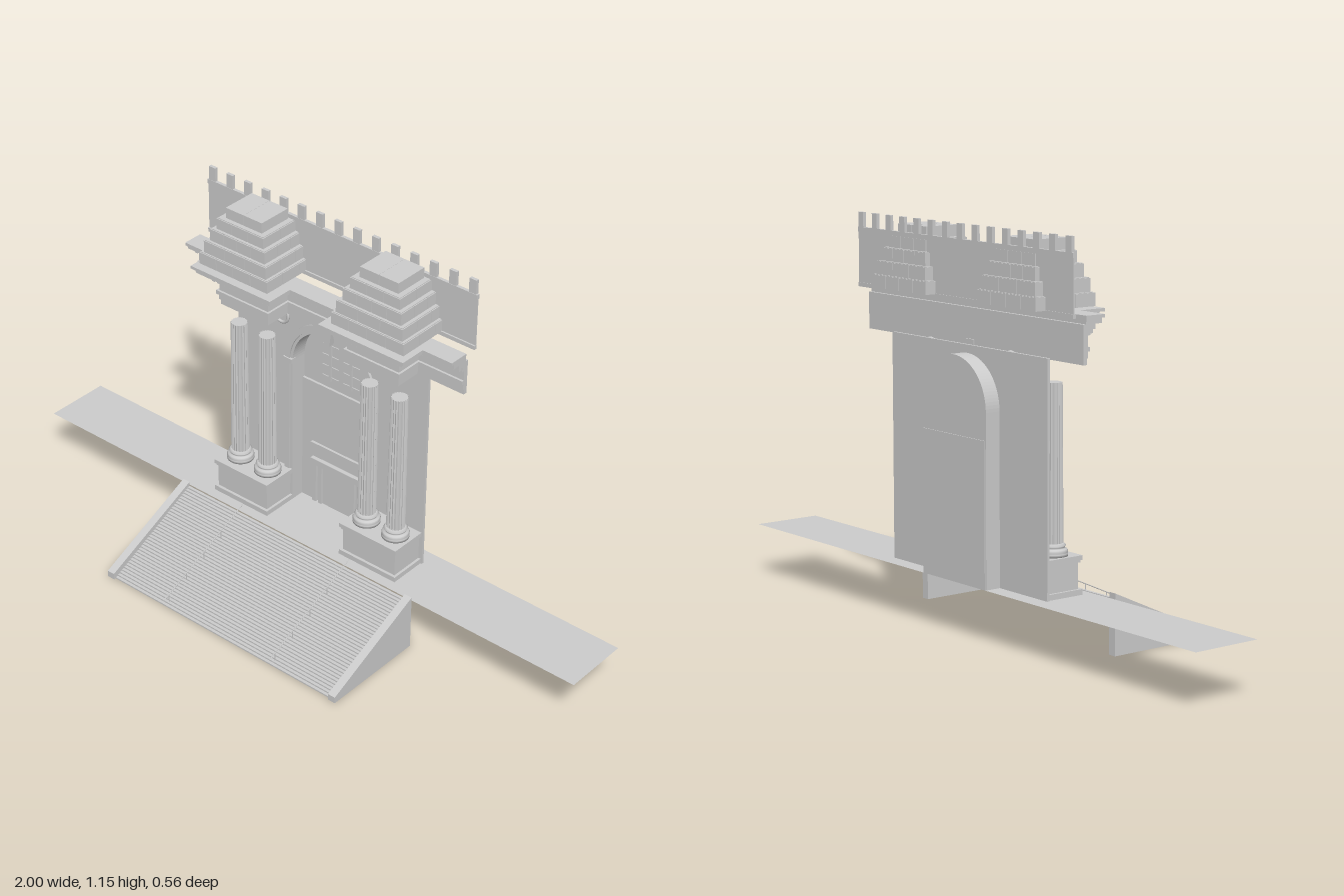
import * as THREE from 'three';

const stone = new THREE.MeshStandardMaterial({ color: 0xcccccc });
stone.name = 'pale stone';
stone.side = THREE.DoubleSide;

function add(parent, name, geo) {
  const m = new THREE.Mesh(geo, stone);
  m.name = name;
  parent.add(m);
  return m;
}
// Box given by its limits on each axis
function box(parent, name, x0, x1, y0, y1, z0, z1) {
  const m = add(parent, name, new THREE.BoxGeometry(x1 - x0, y1 - y0, z1 - z0));
  m.position.set((x0 + x1) / 2, (y0 + y1) / 2, (z0 + z1) / 2);
  return m;
}
// Side profile of [z, y] points, extruded along x
function extrudeX(parent, name, pts, x0, x1) {
  const s = new THREE.Shape(pts.map(([z, y]) => new THREE.Vector2(-z, y)));
  const g = new THREE.ExtrudeGeometry(s, { depth: x1 - x0, bevelEnabled: false });
  g.rotateY(Math.PI / 2).translate(x0, 0, 0);
  return add(parent, name, g);
}
// Front outline extruded from z0 to z1
function extrudeZ(parent, name, shape, z0, z1) {
  const g = new THREE.ExtrudeGeometry(shape, { depth: z1 - z0, bevelEnabled: false, curveSegments: 24 });
  return add(parent, name, g.translate(0, 0, z0));
}
const FLOOR = 0.16, SPRING = 0.652;
function archPath(Type, r, y0 = FLOOR) {
  const p = new Type();
  p.moveTo(-r, y0);
  p.lineTo(r, y0);
  p.lineTo(r, SPRING);
  p.absarc(0, SPRING, r, 0, Math.PI, false);
  p.lineTo(-r, y0);
  return p;
}
// Upside-down U band between two radii
function archBand(ro, ri) {
  const s = new THREE.Shape();
  s.moveTo(ro, FLOOR);
  s.lineTo(ro, SPRING);
  s.absarc(0, SPRING, ro, 0, Math.PI, false);
  s.lineTo(-ro, FLOOR);
  s.lineTo(-ri, FLOOR);
  s.lineTo(-ri, SPRING);
  s.absarc(0, SPRING, ri, Math.PI, 0, true);
  s.lineTo(ri, FLOOR);
  return s;
}
function group(parent, name) {
  const g = new THREE.Group();
  g.name = name;
  parent.add(g);
  return g;
}

function buildStairs(root) {
  const g = group(root, 'stairs');
  const n = 36, zf = 0.268, zb = -0.06, pts = [];
  for (let i = 0; i < n; i++) {
    const z = zf + (zb - zf) * i / n;
    pts.push([z, FLOOR * i / n], [z, FLOOR * (i + 1) / n]);
  }
  pts.push([zb, FLOOR], [zb, 0.145], [0.24, 0]);
  extrudeX(g, 'steps', pts, -0.415, 0.415);
  for (const s of [-1, 1]) {
    const x = s * 0.4275;
    extrudeX(g, 'stairSideWall', [[0.275, 0], [0.275, 0.02], [-0.06, 0.175], [-0.06, 0]], x - 0.0125, x + 0.0125);
    // thin handrail and its posts
    const a = new THREE.Vector3(s * 0.205, 0.034, 0.28), b = new THREE.Vector3(s * 0.205, 0.19, -0.065);
    add(g, 'handrail', new THREE.TubeGeometry(new THREE.LineCurve3(a, b), 1, 0.0016, 6));
    for (let i = 0; i < 4; i++) {
      const p = a.clone().lerp(b, 0.06 + i * 0.22);
      box(g, 'railPost', p.x - 0.001, p.x + 0.001, p.y - 0.026, p.y, p.z - 0.001, p.z + 0.001);
    }
  }
}

function buildWall(root) {
  const g = group(root, 'wall');
  const w = new THREE.Shape();
  w.moveTo(-0.352, FLOOR);
  w.lineTo(-0.14, FLOOR);
  w.lineTo(-0.14, SPRING);
  w.absarc(0, SPRING, 0.14, Math.PI, 0, true);
  w.lineTo(0.14, FLOOR);
  w.lineTo(0.352, FLOOR);
  w.lineTo(0.352, 0.82);
  w.lineTo(-0.352, 0.82);
  extrudeZ(g, 'facadeWall', w, -0.225, -0.217);
  // niche standing out behind the wall
  extrudeZ(g, 'nicheShell', archBand(0.145, 0.139), -0.27, -0.225);
  extrudeZ(g, 'nicheBack', archPath(THREE.Shape, 0.145), -0.272, -0.266);
  box(g, 'nicheLowerPanel', -0.142, 0.142, FLOOR, 0.575, -0.275, -0.258);
  // arch mouldings
  extrudeZ(g, 'archivolt', archBand(0.166, 0.148), -0.217, -0.209);
  extrudeZ(g, 'archivoltInner', archBand(0.152, 0.139), -0.225, -0.213);
  for (const s of [-1, 1]) {
    box(g, 'impost', s * 0.153 - 0.016, s * 0.153 + 0.016, 0.645, 0.66, -0.225, -0.205);
    const ring = add(g, 'roundel', new THREE.TorusGeometry(0.025, 0.005, 8, 28));
    ring.position.set(s * 0.182, 0.793, -0.214);
  }
  const k = new THREE.Shape([[-0.01, 0.77], [0.01, 0.77], [0.018, 0.835], [-0.018, 0.835]].map(p => new THREE.Vector2(...p)));
  extrudeZ(g, 'keystone', k, -0.217, -0.198);
  // window lattice
  for (const s of [-1, 1]) {
    const x = s * 0.039;
    box(g, 'windowFrame', x - 0.004, x + 0.004, 0.6, 0.78, -0.266, -0.26);
    for (let i = 0; i < 5; i++) {
      const y = 0.61 + i * 0.036;
      box(g, 'windowBar', x - 0.03, x + 0.03, y, y + 0.003, -0.266, -0.263);
    }
  }
  // doorway
  box(g, 'sill', -0.1, 0.1, 0.36, 0.368, -0.26, -0.25);
  box(g, 'doorLintel', -0.096, 0.096, 0.295, 0.315, -0.26, -0.245);
  box(g, 'doorLeaf', -0.055, 0.055, FLOOR, 0.288, -0.26, -0.255);
  for (const s of [-1, 1]) {
    for (const [x, h] of [[0.085, 0.007], [0.063, 0.006]])
      box(g, 'doorJamb', s * x - h, s * x + h, FLOOR, 0.296, -0.26, -0.249);
  }
}

// Fluted shaft: alternating ridge and groove radii
function shaftGeometry() {
  const geo = new THREE.CylinderGeometry(0.025, 0.028, 0.44, 40, 1).toNonIndexed();
  const p = geo.attributes.position;
  for (let i = 0; i < p.count; i++) {
    const x = p.getX(i), z = p.getZ(i);
    const k = Math.round(Math.atan2(z, x) / (Math.PI / 20));
    if (k % 2) { p.setX(i, x * 0.9); p.setZ(i, z * 0.9); }
  }
  geo.computeVertexNormals();
  return geo;
}

function buildColumns(root) {
  const shaft = shaftGeometry();
  const base = new THREE.LatheGeometry([[0, 0], [0.041, 0], [0.041, 0.008], [0.038, 0.009], [0.041, 0.013], [0.038, 0.019],
    [0.032, 0.021], [0.032, 0.025], [0.035, 0.029], [0.029, 0.035], [0, 0.035]].map(p => new THREE.Vector2(...p)), 24);
  for (const s of [-1, 1]) {
    const g = group(root, 'columnPair');
    const c = s * 0.243;
    for (const [name, h, y0, y1, zf] of [['plinth', 0.104, 0.16, 0.176, -0.098], ['pedestal', 0.096, 0.176, 0.25, -0.107],
      ['pedestalMoulding', 0.1, 0.25, 0.257, -0.102], ['pedestalCap', 0.104, 0.257, 0.27, -0.098]])
      box(g, name, c - h, c + h, y0, y1, -0.225, zf);
    for (const x of [0.19, 0.297]) {
      add(g, 'columnBase', base).position.set(s * x, 0.27, -0.16);
      add(g, 'columnShaft', shaft).position.set(s * x, 0.525, -0.16);
    }
  }
}

function buildEntablature(root) {
  const g = group(root, 'entablature');
  // bottom, top and overhang of each moulding
  const layers = [[0.815, 0.832, 0], [0.832, 0.85, 0.004], [0.85, 0.862, 0.01], [0.862, 0.893, 0.003], [0.893, 0.908, 0.012],
    [0.908, 0.922, 0.028], [0.922, 0.936, 0.05], [0.936, 0.945, 0.06]];
  layers.forEach(([y0, y1, out], i) => {
    const back = i > 5 ? -0.203 : -0.212;
    box(g, 'recessedMoulding', -0.485, 0.485, y0, y1, back, -0.2 + out);
    for (const s of [-1, 1])
      box(g, 'projectingMoulding', s * 0.2365 - 0.089 - out, s * 0.2365 + 0.089 + out, y0, y1, -0.2, -0.115 + out);
  });
  // small tooth blocks under the cornice
  for (let i = 0; i < 54; i++) {
    const x = -0.477 + i * 0.018;
    const front = Math.abs(Math.abs(x) - 0.2365) < 0.105;
    const z = front ? -0.104 : -0.189;
    box(g, 'dentil', x - 0.005, x + 0.005, 0.897, 0.908, z, z + 0.012);
  }
}

function buildRoofline(root) {
  const g = group(root, 'parapet');
  box(g, 'parapetWall', -0.485, 0.485, 0.945, 1.11, -0.246, -0.243);
  box(g, 'parapetCap', -0.485, 0.485, 1.098, 1.112, -0.249, -0.239);
  box(g, 'parapetFoot', -0.485, 0.485, 0.94, 0.952, -0.248, -0.238);
  for (let i = 0; i < 15; i++) {
    const x = -0.468 + i * 0.936 / 14;
    box(g, 'merlon', x - 0.012, x + 0.012, 1.112, 1.155, -0.25, -0.24);
  }
  // stepped block pyramids: y0, y1, half width, half depth, blocks across, blocks deep
  const rows = [[0.95, 0.986, 0.128, 0.103, 4, 3], [0.988, 1.025, 0.117, 0.096, 3, 3], [1.027, 1.063, 0.103, 0.085, 4, 3],
    [1.065, 1.098, 0.088, 0.073, 3, 2], [1.1, 1.13, 0.068, 0.056, 2, 1]];
  for (const s of [-1, 1]) {
    const p = group(root, 'steppedPyramid');
    p.position.set(s * 0.243, 0, -0.178);
    for (const [y0, y1, hx, hz, nx, nz] of rows) {
      box(p, 'rowCore', -hx + 0.004, hx - 0.004, y0 + 0.001, y1 + 0.002, -hz + 0.004, hz - 0.004);
      const dx = 2 * hx / nx, dz = 2 * hz / nz, gap = 0.001;
      for (let i = 0; i < nx; i++) for (let j = 0; j < nz; j++)
        box(p, 'block', -hx + i * dx + gap, -hx + (i + 1) * dx - gap, y0, y1 + 0.0025 * (y1 > 1.12 ? 1 : 0),
          -hz + j * dz + gap, -hz + (j + 1) * dz - gap);
    }
  }
}

export function createModel() {
  const root = new THREE.Group();
  root.name = 'monumentalGateway';
  // terrace sheet
  const t = add(root, 'terrace', new THREE.PlaneGeometry(2, 0.21).rotateX(-Math.PI / 2));
  t.position.set(0, FLOOR, -0.17);
  buildStairs(root);
  buildWall(root);
  buildColumns(root);
  buildEntablature(root);
  buildRoofline(root);
  return root;
}
